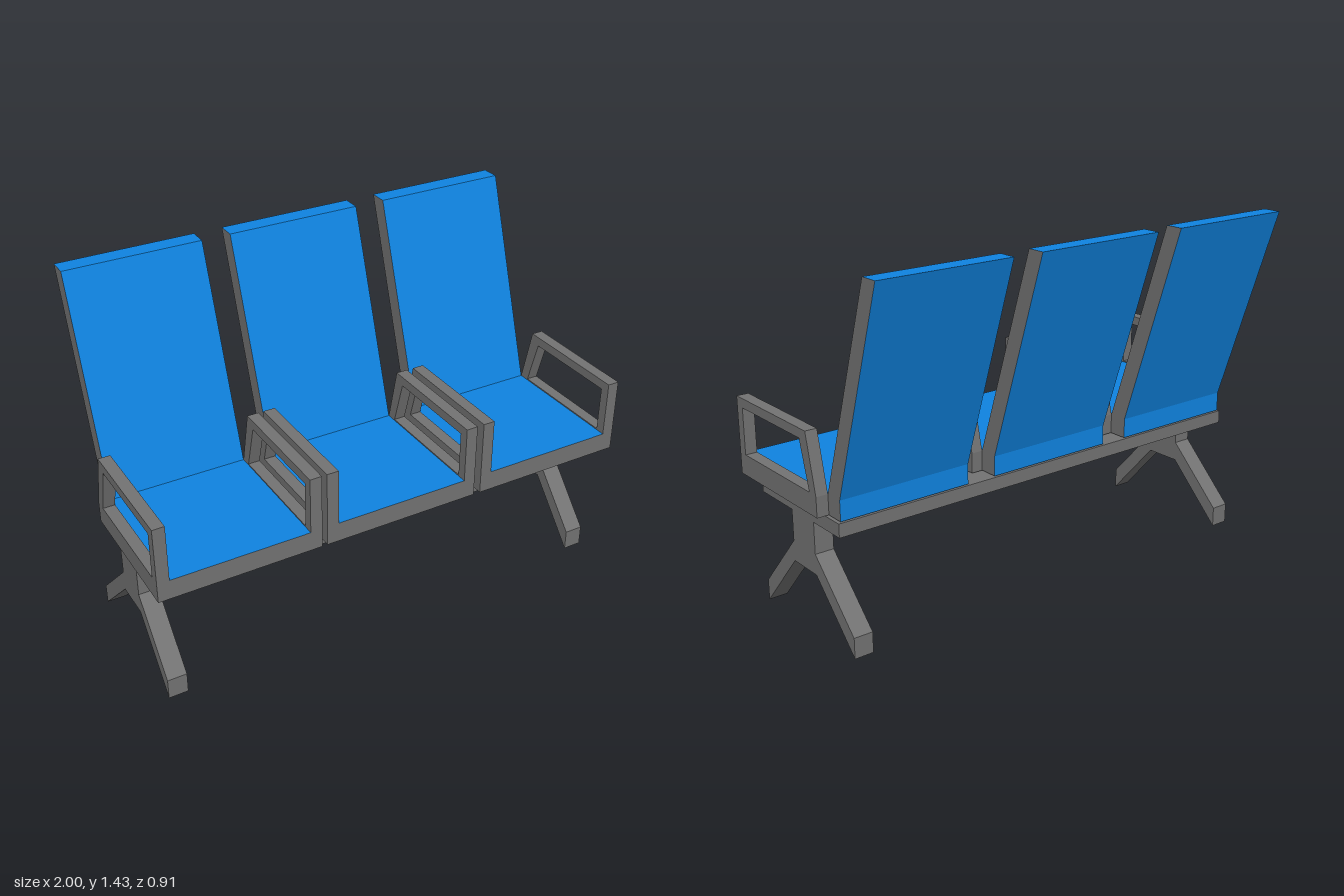
import * as THREE from 'three';

const grey = new THREE.MeshStandardMaterial({ color: 0x727272 });
grey.name = 'grey metal';
const blue = new THREE.MeshStandardMaterial({ color: 0x0f83e0 });
blue.name = 'blue upholstery';

// Extrude a [z, y] side profile across x, centred on x = 0
function sidePart(name, profile, width, material, hole) {
  const toPoints = (list) => list.map(([z, y]) => new THREE.Vector2(z, y));
  const shape = new THREE.Shape(toPoints(profile));
  if (hole) shape.holes.push(new THREE.Path(toPoints(hole)));
  const geometry = new THREE.ExtrudeGeometry(shape, { depth: width, bevelEnabled: false });
  geometry.translate(0, 0, -width / 2).rotateY(-Math.PI / 2);
  const mesh = new THREE.Mesh(geometry, material);
  mesh.name = name;
  return mesh;
}

// Box given by its extents along each axis
function boxPart(name, [x0, x1], [y0, y1], [z0, z1], material) {
  const mesh = new THREE.Mesh(new THREE.BoxGeometry(x1 - x0, y1 - y0, z1 - z0), material);
  mesh.position.set((x0 + x1) / 2, (y0 + y1) / 2, (z0 + z1) / 2);
  mesh.name = name;
  return mesh;
}

function createSeat() {
  const seat = new THREE.Group();
  seat.name = 'seat';

  // Pan: blue above and below, grey around the rim
  seat.add(boxPart('seatPan', [-0.325, 0.325], [0.52, 0.6], [-0.1, 0.455],
    [grey, grey, blue, blue, grey, grey]));

  // Reclined backrest: grey sides, blue front, top and rear
  seat.add(sidePart('backrest', [
    [-0.1, 0.52], [-0.1, 0.6], [-0.38, 1.428], [-0.455, 1.428], [-0.178, 0.6], [-0.178, 0.52],
  ], 0.554, [grey, blue]));

  // Open armrest loops on both edges of the pan
  for (const side of [-1, 1]) {
    const arm = sidePart('armrest',
      [[0.455, 0.6], [0.455, 0.83], [-0.047, 0.83], [-0.1, 0.6]], 0.048, grey,
      [[0.415, 0.605], [0.415, 0.792], [-0.002, 0.792], [-0.055, 0.605]]);
    arm.position.x = side * 0.301;
    seat.add(arm);
  }
  return seat;
}

export function createModel() {
  const bench = new THREE.Group();
  bench.name = 'waitingBench';

  for (const x of [-0.675, -0.004, 0.675]) {
    const seat = createSeat();
    seat.position.x = x;
    bench.add(seat);
  }

  // Beam carrying the seats
  bench.add(boxPart('beam', [-0.968, 0.96], [0.46, 0.514], [-0.178, 0.372], grey));

  // Splayed leg frames
  const legProfile = [
    [0.157, 0.46], [0.157, 0.332], [0.383, 0.085], [0.383, 0], [0.157, 0.25],
    [0.002, 0.25], [-0.243, 0.012], [-0.243, 0.095], [0.002, 0.332], [0.002, 0.46],
  ];
  for (const x of [-0.929, 0.919]) {
    const leg = sidePart('legFrame', legProfile, 0.078, grey);
    leg.position.x = x;
    bench.add(leg);
  }
  return bench;
}
